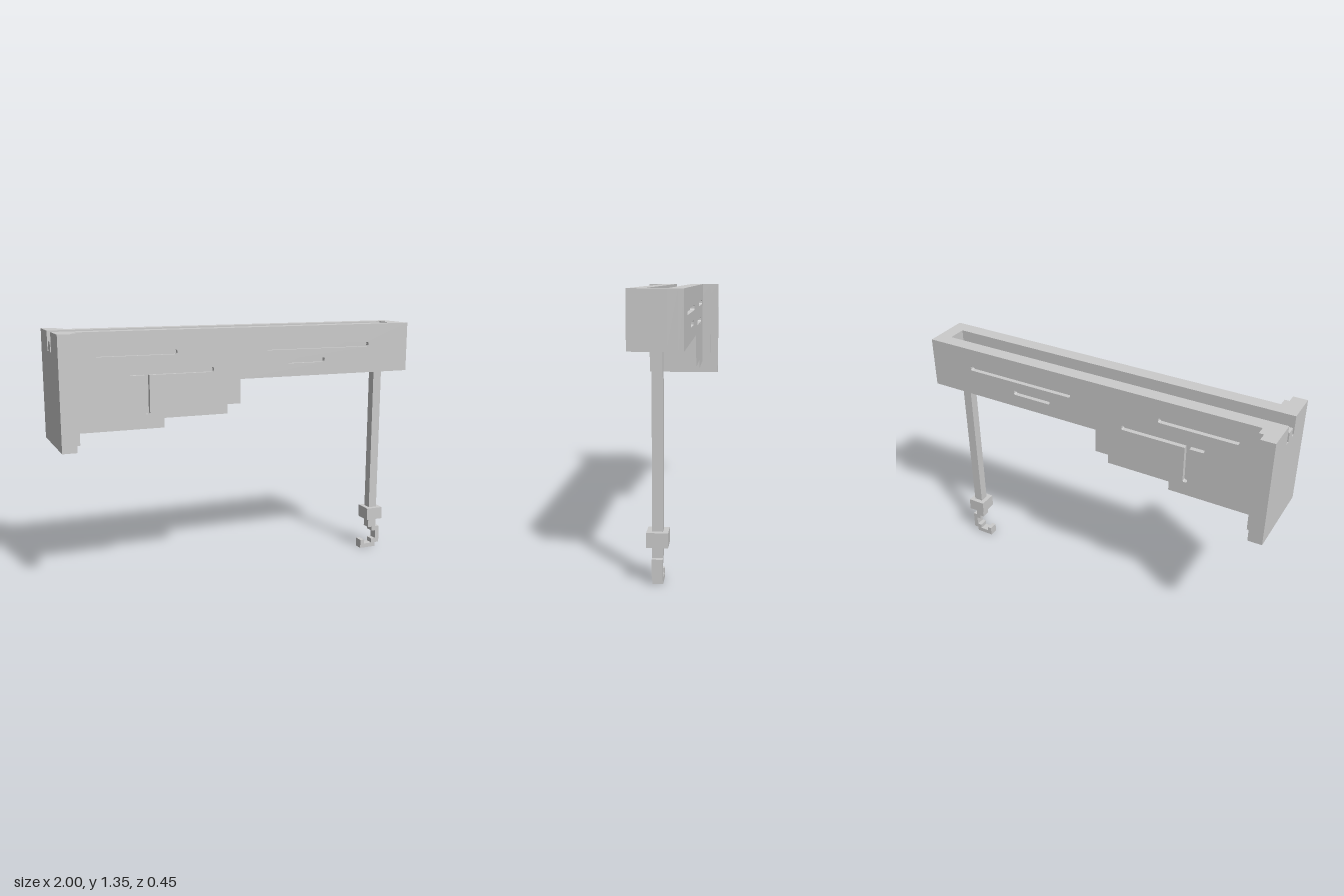
import * as THREE from 'three';

const material = new THREE.MeshStandardMaterial({ color: 0xcccccc, flatShading: true });
const TOP = 1.35, UNDER = 1.08;

const toShape = (points) => new THREE.Shape(points.map(([x, y]) => new THREE.Vector2(x, y)));

// Extrudes an x-y outline between two z values
function slab(name, points, z0, z1, holes = []) {
  const shape = toShape(points);
  shape.holes = holes.map((h) => new THREE.Path(h.map(([x, y]) => new THREE.Vector2(x, y))));
  const geometry = new THREE.ExtrudeGeometry(shape, { depth: z1 - z0, bevelEnabled: false });
  geometry.translate(0, 0, z0);
  const mesh = new THREE.Mesh(geometry, material);
  mesh.name = name;
  return mesh;
}

function box(name, x0, x1, y0, y1, z0, z1) {
  const mesh = new THREE.Mesh(new THREE.BoxGeometry(x1 - x0, y1 - y0, z1 - z0), material);
  mesh.position.set((x0 + x1) / 2, (y0 + y1) / 2, (z0 + z1) / 2);
  mesh.name = name;
  return mesh;
}

// Narrow slot outline with clipped corners
function slot(x0, x1, y0, y1, c = 0.006) {
  return [[x0 + c, y0], [x1 - c, y0], [x1, y0 + c], [x1, y1 - c],
    [x1 - c, y1], [x0 + c, y1], [x0, y1 - c], [x0, y0 + c]];
}

export function createModel() {
  const model = new THREE.Group();
  model.name = 'wallBeamWithHook';

  // Stepped underside shared by all layers of the beam
  const steps = [[-1, 0.85], [-0.45, 0.85], [-0.45, 0.9], [-0.1, 0.9],
    [-0.1, 0.95], [-0.025, 0.95], [-0.025, UNDER]];
  const side = [...steps, [1, UNDER], [1, TOP], [-1, TOP]];

  // Recessed slots: three bars and one T
  const slots = [
    slot(-0.8, -0.375, 1.225, 1.25),
    slot(0.125, 0.75, 1.225, 1.25),
    slot(0.25, 0.475, 1.15, 1.175),
    [[-0.625, 1.125], [-0.55, 1.125], [-0.55, 0.93], [-0.545, 0.925], [-0.53, 0.925], [-0.525, 0.93],
      [-0.525, 1.125], [-0.18, 1.125], [-0.175, 1.131], [-0.175, 1.144], [-0.18, 1.15],
      [-0.625, 1.15], [-0.63, 1.144], [-0.63, 1.131]],
  ];

  // Beam: slotted skins over solid side walls
  const beam = new THREE.Group();
  beam.name = 'beam';
  beam.add(slab('frontSkin', side, 0.1, 0.125, slots), slab('backSkin', side, -0.125, -0.1, slots));
  beam.add(slab('frontWall', side, 0.05, 0.1), slab('backWall', side, -0.1, -0.05));

  // Groove floor, shaft opening and closed outer end
  beam.add(slab('grooveFloor', [...steps, [0.8, UNDER], [0.8, 1.25], [-1, 1.25]], -0.05, 0.05));
  beam.add(box('outerEnd', 0.925, 1, UNDER, TOP, -0.05, 0.05));
  model.add(beam);

  // Stepped wall plate, notched at the top where the groove runs out
  const plate = new THREE.Group();
  plate.name = 'wallPlate';
  for (const [name, x0, x1, y0, w] of [['rearPlate', -1, -0.925, 0.775, 0.225], ['innerPlate', -0.925, -0.9, 0.8, 0.175]]) {
    const outline = toShape([[-w, y0], [w, y0], [w, TOP], [0.05, TOP], [0.05, 1.25],
      [-0.05, 1.25], [-0.05, TOP], [-w, TOP]]);
    const geometry = new THREE.ExtrudeGeometry(outline, { depth: x1 - x0, bevelEnabled: false });
    geometry.rotateY(Math.PI / 2).translate(x0, 0, 0);
    const mesh = new THREE.Mesh(geometry, material);
    mesh.name = name;
    plate.add(mesh);
  }
  model.add(plate);

  // Cable lying in the groove, then hanging down the shaft
  model.add(slab('cable', [[-1, 1.25], [0.85, 1.25], [0.85, 0.25], [0.9, 0.25], [0.9, 1.3], [-1, 1.3]], -0.025, 0.025));

  // Weight block and stepped hook
  model.add(box('hookBlock', 0.825, 0.925, 0.18, 0.25, -0.05, 0.05));
  model.add(slab('hook', [[0.85, 0.18], [0.85, 0.125], [0.875, 0.125], [0.875, 0.1], [0.9, 0.1], [0.9, 0.05],
    [0.875, 0.05], [0.875, 0.025], [0.825, 0.025], [0.825, 0.05], [0.8, 0.05], [0.8, 0], [0.9, 0],
    [0.9, 0.025], [0.925, 0.025], [0.925, 0.125], [0.9, 0.125], [0.9, 0.18]], -0.025, 0.025));

  return model;
}
